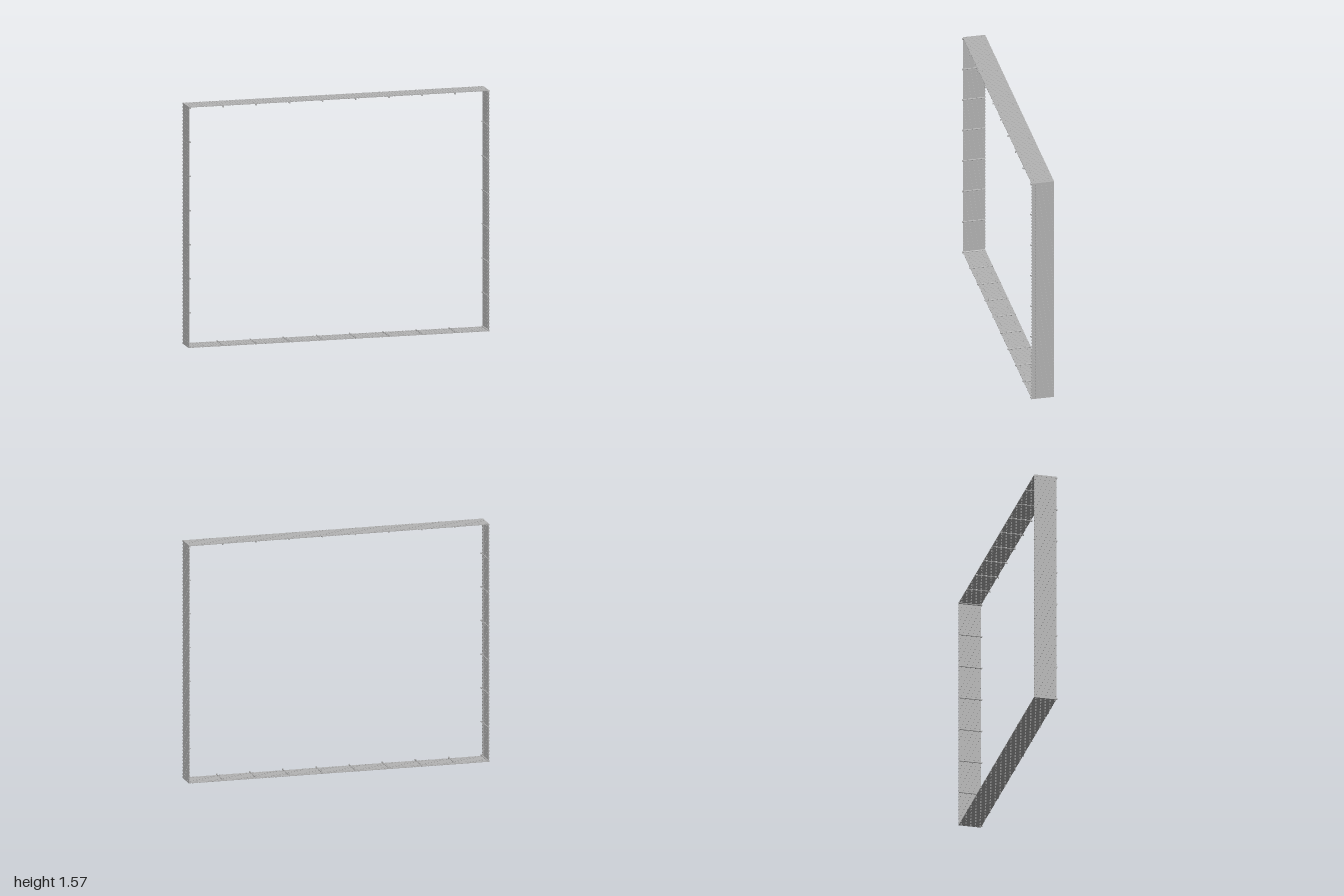
import * as THREE from 'three';
import { mergeGeometries } from 'three/addons/utils/BufferGeometryUtils.js';

const HEIGHT = 1.573, WIDTH = 2, BACK = -0.077, FRONT = 0.07;
const DEPTH = FRONT - BACK, MID_Z = (FRONT + BACK) / 2;
const SLAT = 0.011, THICK = 0.005;

function box(w, h, d, x, y, z) {
  return new THREE.BoxGeometry(w, h, d).translate(x, y, z);
}

// Strip along x: outer face at y = 0, inner side towards +y
function stripParts(length, bays) {
  const slats = [], rods = [];

  // close slats running front to back, raised on both sides of a thin web
  const n = bays * 10;
  for (let i = 0; i <= n; i++) {
    const x = -length / 2 + SLAT / 2 + (i / n) * (length - SLAT);
    slats.push(box(SLAT, THICK, DEPTH, x, THICK / 2, MID_Z));
  }
  const web = [box(length, THICK - 0.002, DEPTH - 0.002, 0, THICK / 2, MID_Z)];

  // two long wires tying the slats together
  const wires = [-0.05, 0.045].map((z) => box(length, THICK + 0.001, 0.004, 0, THICK / 2 + 0.0005, z));

  // support rods with a small head in front
  for (let i = 0; i <= bays; i++) {
    const x = -length / 2 + 0.007 + (i / bays) * (length - 0.014);
    rods.push(new THREE.CylinderGeometry(0.0035, 0.0035, 0.077 - BACK, 8)
      .rotateX(Math.PI / 2).translate(x, 0.0085, 0));
    rods.push(box(0.009, 0.009, 0.005, x, 0.0085, 0.0745));
  }
  return { slats, web, longWires: wires, supportRods: rods };
}

export function createModel() {
  const model = new THREE.Group();
  model.name = 'meshFrame';
  const steel = new THREE.MeshStandardMaterial({ color: 0xb4b4b4 });
  steel.name = 'light grey steel';

  function addPanel(name, length, bays, x, y, angle) {
    const panel = new THREE.Group();
    panel.name = name;
    for (const [part, list] of Object.entries(stripParts(length, bays))) {
      const mesh = new THREE.Mesh(mergeGeometries(list), steel);
      mesh.name = part;
      panel.add(mesh);
    }
    panel.position.set(x, y, 0);
    panel.rotation.z = angle;
    model.add(panel);
  }

  // four strips with their rods facing inwards
  addPanel('bottomPanel', WIDTH, 9, 0, 0, 0);
  addPanel('topPanel', WIDTH, 9, 0, HEIGHT, Math.PI);
  addPanel('leftPanel', HEIGHT, 7, WIDTH / 2, HEIGHT / 2, Math.PI / 2);
  addPanel('rightPanel', HEIGHT, 7, -WIDTH / 2, HEIGHT / 2, -Math.PI / 2);
  return model;
}
